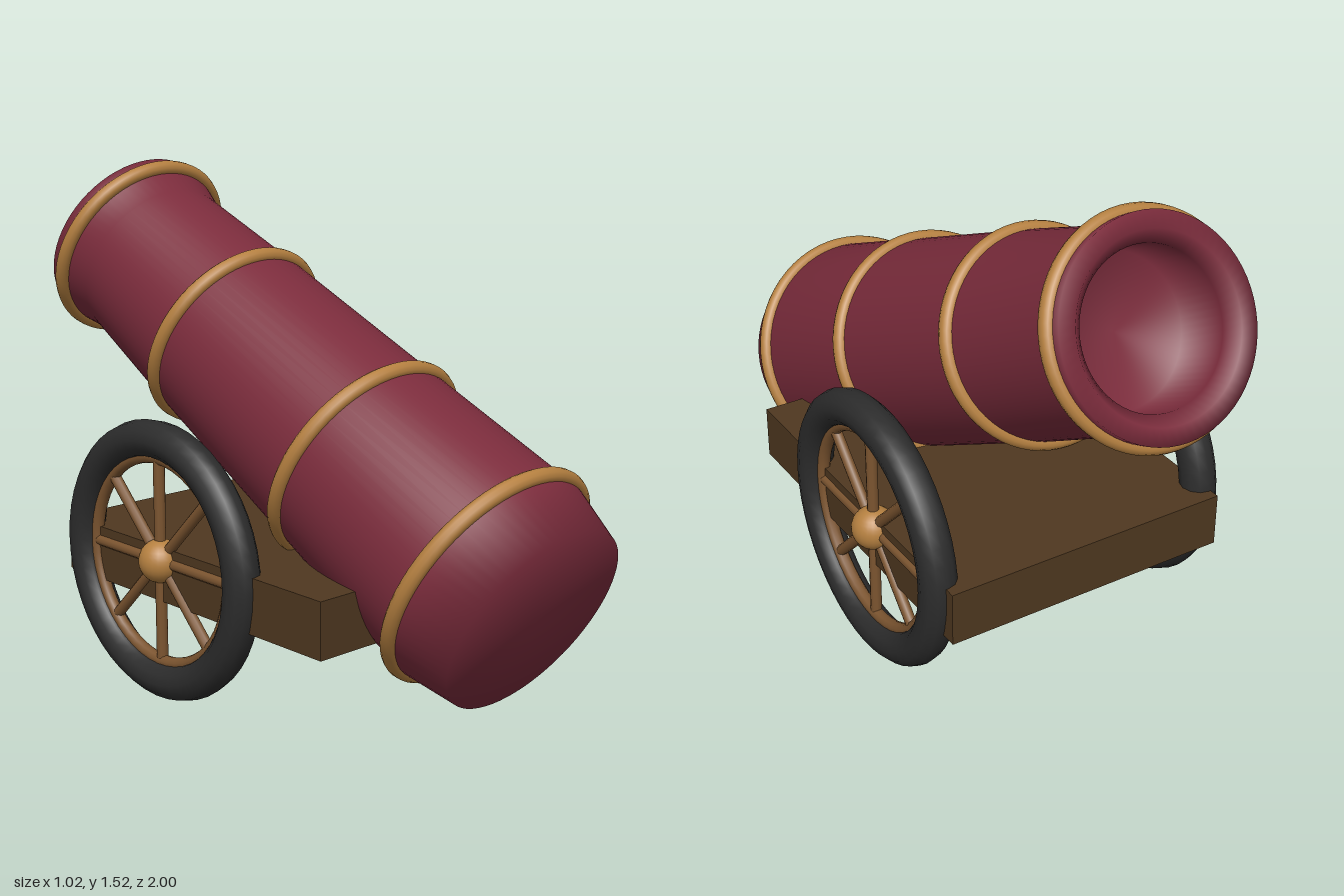
import * as THREE from 'three';

const paint = (name, color) => {
  const m = new THREE.MeshStandardMaterial({ color });
  m.name = name;
  return m;
};

export function createModel() {
  const red = paint('barrel red', 0x7b2c3c);
  const gold = paint('brass', 0xb58040);
  const black = paint('tyre black', 0x2c2c2c);
  const darkWood = paint('dark wood', 0x4f3820);
  const wood = paint('spoke wood', 0x7c5530);

  const add = (parent, name, geometry, material) => {
    const mesh = new THREE.Mesh(geometry, material);
    mesh.name = name;
    parent.add(mesh);
    return mesh;
  };

  const model = new THREE.Group();
  model.name = 'cannon';

  // Barrel group: local y runs from breech to muzzle
  const barrel = new THREE.Group();
  barrel.name = 'barrel';
  barrel.position.set(0, 0.388, 0.862);
  barrel.rotation.x = -1.104;
  model.add(barrel);

  // Radius and distance along the axis; the last points form the bore
  const profile = [
    [0, 0], [0.305, 0], [0.345, 0.17], [0.32, 0.72], [0.293, 1.36],
    [0.268, 1.785], [0.29, 1.88], [0.293, 1.937],
    [0.245, 1.937], [0.212, 1.9], [0.21, 1.72], [0, 1.72],
  ].map(([r, y]) => new THREE.Vector2(r, y));
  add(barrel, 'barrelBody', new THREE.LatheGeometry(profile, 64), red);

  // Brass bands
  for (const [r, y] of [[0.345, 0.186], [0.32, 0.719], [0.293, 1.361], [0.291, 1.883]]) {
    const band = add(barrel, 'barrelBand', new THREE.TorusGeometry(r, 0.024, 12, 64), gold);
    band.position.y = y;
    band.rotation.x = Math.PI / 2;
  }

  // Carriage bed
  const bed = add(model, 'carriageBed', new THREE.BoxGeometry(0.9, 0.165, 1.13), darkWood);
  bed.position.set(0, 0.378, -0.05);

  // Wheels, built in the local xy plane and turned to face sideways
  for (const side of [-1, 1]) {
    const wheel = new THREE.Group();
    wheel.name = side > 0 ? 'leftWheel' : 'rightWheel';
    wheel.position.set(side * 0.445, 0.417, -0.17);
    wheel.rotation.y = side * Math.PI / 2;
    model.add(wheel);

    add(wheel, 'tyre', new THREE.TorusGeometry(0.361, 0.055, 12, 48), black);
    add(wheel, 'rim', new THREE.TorusGeometry(0.308, 0.02, 10, 48), wood);
    add(wheel, 'hub', new THREE.SphereGeometry(0.065, 24, 16), gold);
    for (let i = 0; i < 8; i++) {
      const a = i * Math.PI / 4;
      const spoke = add(wheel, 'spoke', new THREE.CylinderGeometry(0.017, 0.017, 0.3, 10), wood);
      spoke.position.set(-Math.sin(a) * 0.155, Math.cos(a) * 0.155, 0);
      spoke.rotation.z = a;
    }
  }

  return model;
}
